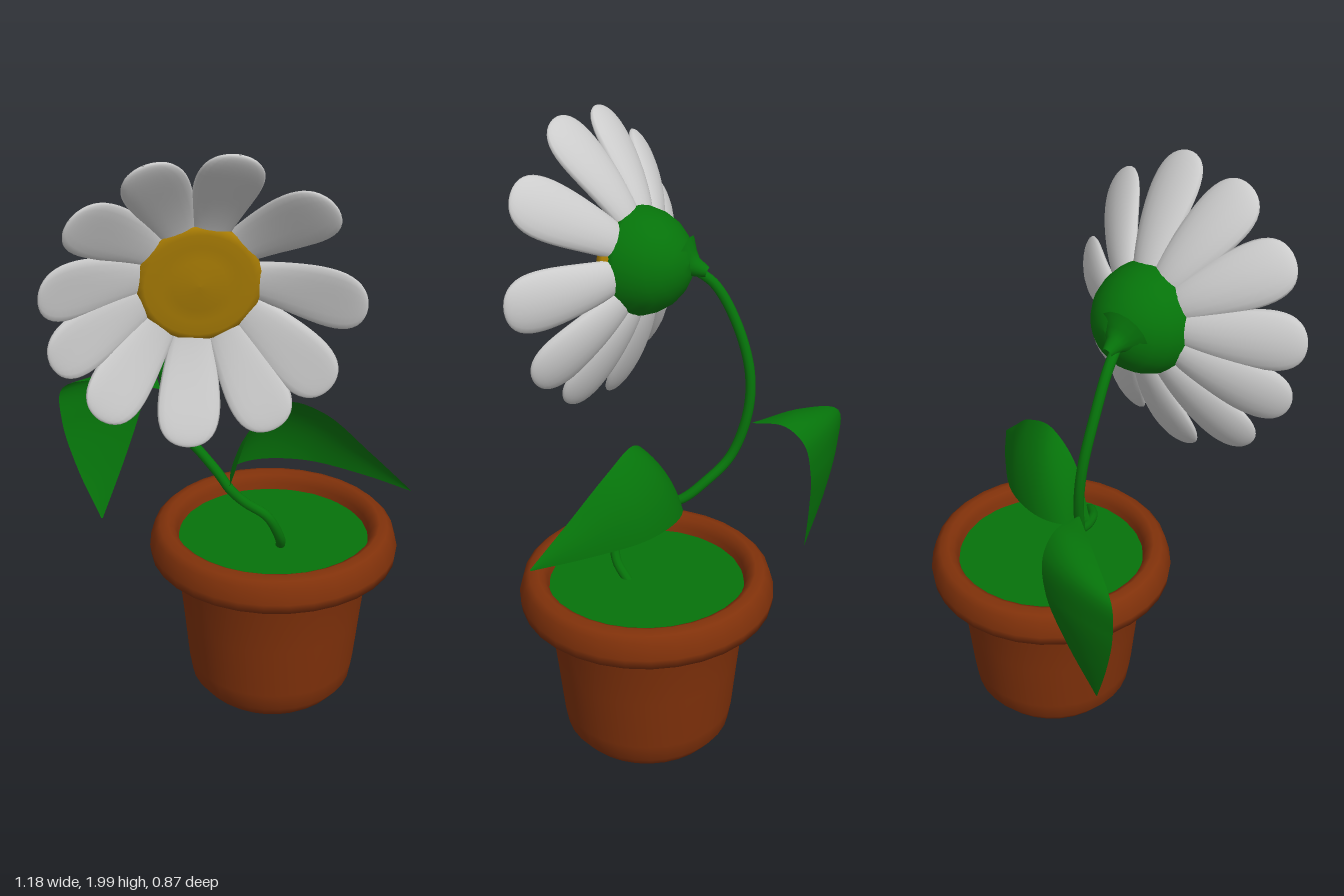
import * as THREE from 'three';
import { ParametricGeometry } from 'three/addons/geometries/ParametricGeometry.js';

const material = (color, side = THREE.FrontSide) => new THREE.MeshStandardMaterial({ color, side });
const GREEN = 0x06730a;

function addMesh(parent, name, geometry, mat) {
  const mesh = new THREE.Mesh(geometry, mat);
  mesh.name = name;
  parent.add(mesh);
  return mesh;
}

const lathe = (profile, sides) =>
  new THREE.LatheGeometry(profile.map(([r, y]) => new THREE.Vector2(r, y)), sides);
const spline = (points) =>
  new THREE.CatmullRomCurve3(points.map((p) => new THREE.Vector3(...p)));

// Thin blade stretched between two edge curves, bowed along its middle
function leafGeometry(edgeA, edgeB, bow) {
  const a = spline(edgeA), b = spline(edgeB), bulge = new THREE.Vector3(...bow);
  return new ParametricGeometry((u, v, target) => {
    const t = 0.006 + 0.988 * v;
    target.lerpVectors(a.getPoint(t), b.getPoint(t), u)
      .addScaledVector(bulge, 4 * u * (1 - u) * Math.sin(Math.PI * t));
  }, 10, 28);
}

// Puffy oval petal growing along +x, curling up towards +z
function petalGeometry() {
  return new ParametricGeometry((u, v, target) => {
    const t = Math.sin(v * 1.55);
    const angle = u * Math.PI * 2;
    const round = Math.sqrt(1 - t ** 5);
    const y = (0.05 + 0.075 * t) * round * Math.cos(angle);
    const z = 0.024 * round * Math.sin(angle);
    const rise = 0.185 * t ** 1.35 - 0.005;
    target.set(0.12 + 0.345 * t - z * 0.45, y, rise + z + y * y * 1.5);
  }, 18, 18);
}

export function createModel() {
  const model = new THREE.Group();
  model.name = 'pottedDaisy';
  const green = material(GREEN);
  const leafGreen = material(GREEN, THREE.DoubleSide);

  // Pot with rolled rim and recessed base, filled with a green disc
  const pot = new THREE.Group();
  pot.name = 'pot';
  pot.position.set(0.18, 0, 0.03);
  model.add(pot);
  addMesh(pot, 'potShell', lathe([
    [0, 0.012], [0.025, 0.03], [0.08, 0.03], [0.13, 0.016], [0.17, 0.004], [0.205, 0.015], [0.235, 0.04],
    [0.267, 0.08], [0.277, 0.14], [0.295, 0.32], [0.316, 0.51], [0.335, 0.54],
    [0.4, 0.538], [0.404, 0.57], [0.39, 0.62], [0.372, 0.638], [0.345, 0.646],
    [0.326, 0.635], [0.314, 0.61], [0.306, 0.56],
  ], 32), material(0x80310a));
  const soil = addMesh(pot, 'soil', new THREE.CircleGeometry(0.311, 24).rotateX(-Math.PI / 2), green);
  soil.position.y = 0.588;

  // Winding stem, flaring where it meets the flower head
  addMesh(model, 'stem', new THREE.TubeGeometry(spline([
    [0.185, 0.575, 0.09], [0.165, 0.64, 0.14], [0.115, 0.735, 0.153], [0.06, 0.765, 0.105],
    [0.03, 0.782, 0.04], [0.01, 0.81, -0.03], [-0.03, 0.86, -0.09], [-0.09, 0.935, -0.155],
    [-0.12, 1.08, -0.2], [-0.135, 1.22, -0.2], [-0.142, 1.38, -0.15], [-0.135, 1.5, -0.08],
    [-0.12, 1.55, -0.01],
  ]), 80, 0.016, 10), green);
  const collar = addMesh(model, 'stemCollar', lathe([
    [0.085, -0.055], [0.05, -0.03], [0.03, -0.01], [0.016, 0.03],
  ], 16).rotateX(-Math.PI / 2), green);
  collar.position.set(-0.118, 1.55, -0.035);
  collar.rotation.x = -0.3;

  // Leaves
  addMesh(model, 'archedLeaf', leafGeometry(
    [[0.025, 0.795, 0.045], [0.1, 1.0, 0.055], [0.2, 1.08, 0.065], [0.32, 1.04, 0.1], [0.45, 0.92, 0.18], [0.562, 0.808, 0.257]],
    [[0.025, 0.795, 0.045], [0.065, 0.815, -0.045], [0.15, 0.82, -0.068], [0.3, 0.82, -0.02], [0.45, 0.815, 0.12], [0.562, 0.808, 0.257]],
    [0, 0.025, -0.02],
  ), leafGreen);
  addMesh(model, 'droopingLeaf', leafGeometry(
    [[-0.13, 1.045, -0.21], [-0.28, 1.045, -0.33], [-0.415, 0.99, -0.425], [-0.42, 0.87, -0.425], [-0.38, 0.7, -0.4], [-0.31, 0.51, -0.355]],
    [[-0.13, 1.045, -0.21], [-0.125, 1.055, -0.32], [-0.13, 1.0, -0.385], [-0.155, 0.88, -0.405], [-0.215, 0.72, -0.39], [-0.31, 0.51, -0.355]],
    [0, 0.015, -0.02],
  ), leafGreen);

  // Flower head, facing forward with a slight turn and droop
  const head = new THREE.Group();
  head.name = 'flowerHead';
  head.position.set(-0.105, 1.556, 0.155);
  head.lookAt(head.position.clone().add(new THREE.Vector3(-0.17, -0.12, 0.97)));
  model.add(head);
  addMesh(head, 'calyx', lathe([
    [0, -0.178], [0.035, -0.174], [0.07, -0.16], [0.105, -0.135], [0.135, -0.103],
    [0.157, -0.062], [0.17, -0.015], [0.173, 0.022], [0, 0.022],
  ], 32).rotateX(Math.PI / 2), green);
  addMesh(head, 'flowerCentre', lathe([
    [0.16, -0.01], [0.184, 0.015], [0.182, 0.035], [0.16, 0.044], [0.12, 0.04], [0.08, 0.044], [0.04, 0.048], [0, 0.05],
  ], 36).rotateX(Math.PI / 2), material(0xa87c04));

  // Ring of petals, unevenly spaced
  const petal = petalGeometry();
  const white = material(0xcccccc, THREE.DoubleSide);
  [79, 111, 142, 173, 200, 229, 264, 297, 323, 358, 41].forEach((degrees, i) => {
    const mesh = addMesh(head, `petal${i + 1}`, petal, white);
    mesh.rotation.z = THREE.MathUtils.degToRad(degrees);
  });

  return model;
}
